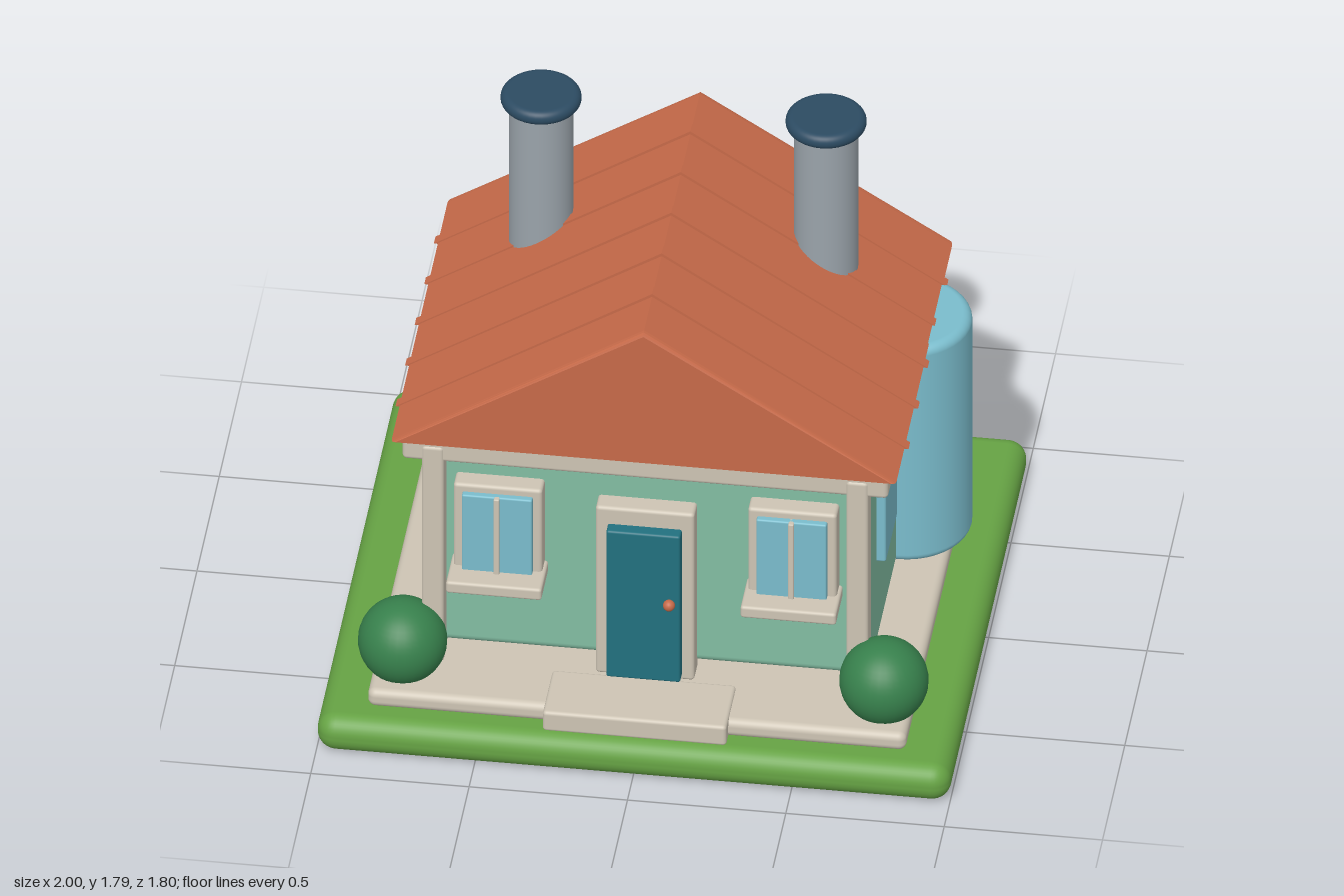
import * as THREE from 'three';
import { RoundedBoxGeometry } from 'three/addons/geometries/RoundedBoxGeometry.js';

const mat = (name, color) => new THREE.MeshStandardMaterial({ name, color });

export function createModel() {
  const lawnGreen = mat('lawn green', 0x66a344);
  const stone = mat('pale stone', 0xcdc4b4);
  const wallGreen = mat('mint wall', 0x82bda2);
  const tile = mat('terracotta', 0xc66a49);
  const glass = mat('sky blue', 0x7abccc);
  const teal = mat('door teal', 0x22717f);
  const metal = mat('chimney grey', 0x9aa3aa);
  const navy = mat('cap navy', 0x2c4b62);
  const leaf = mat('bush green', 0x37804c);

  const house = new THREE.Group();
  house.name = 'house';

  const add = (name, geometry, material, x = 0, y = 0, z = 0) => {
    const mesh = new THREE.Mesh(geometry, material);
    mesh.name = name;
    mesh.position.set(x, y, z);
    house.add(mesh);
    return mesh;
  };
  // Rounded block given by its extents on each axis
  const block = (name, material, [x0, x1], [y0, y1], [z0, z1], r = 0.01) =>
    add(name, new RoundedBoxGeometry(x1 - x0, y1 - y0, z1 - z0, 4, r), material,
      (x0 + x1) / 2, (y0 + y1) / 2, (z0 + z1) / 2);
  // Upright solid cylinder with rounded rims
  const drum = (name, material, r, y0, y1, round, x, z) => {
    const outline = new THREE.Path();
    outline.moveTo(0, y0);
    outline.lineTo(r - round, y0);
    outline.absarc(r - round, y0 + round, round, -Math.PI / 2, 0);
    outline.lineTo(r, y1 - round);
    outline.absarc(r - round, y1 - round, round, 0, Math.PI / 2);
    outline.lineTo(0, y1);
    return add(name, new THREE.LatheGeometry(outline.getPoints(6), 40), material, x, 0, z);
  };
  // Gabled prism running along z
  const gable = (name, half, y0, y1, depth, bevel, z) => {
    const shape = new THREE.Shape();
    shape.moveTo(-half, y0);
    shape.lineTo(half, y0);
    shape.lineTo(0, y1);
    shape.closePath();
    const geometry = new THREE.ExtrudeGeometry(shape, {
      depth: depth - 2 * bevel, bevelEnabled: bevel > 0, bevelThickness: bevel,
      bevelSize: bevel * 0.5, bevelOffset: -bevel * 0.5, bevelSegments: 3,
    });
    geometry.translate(0, 0, -depth / 2 + bevel);
    return add(name, geometry, tile, 0, 0, z);
  };

  // Ground
  block('lawn', lawnGreen, [-1, 1], [0, 0.13], [-0.9, 0.9], 0.06);
  block('terrace', stone, [-0.85, 0.85], [0.125, 0.19], [-0.67, 0.8], 0.025);
  block('doorStep', stone, [-0.29, 0.29], [0.125, 0.2], [0.62, 0.847], 0.012);

  // Walls and cornice
  block('walls', wallGreen, [-0.7, 0.7], [0.218, 0.975], [-0.545, 0.545], 0.03);
  block('cornice', stone, [-0.767, 0.767], [0.96, 1.049], [-0.608, 0.608], 0.015);

  // Roof with raised seams
  gable('roof', 0.797, 1.048, 1.555, 1.29, 0.02, 0);
  for (let i = -2; i <= 2; i++) gable('roofSeam', 0.81, 1.045, 1.566, 0.037, 0, i * 0.215);

  // Door
  block('doorFrame', stone, [-0.156, 0.156], [0.192, 0.84], [0.53, 0.61], 0.012);
  block('door', teal, [-0.117, 0.117], [0.21, 0.778], [0.58, 0.65], 0.008);
  add('doorKnob', new THREE.SphereGeometry(0.019, 20, 14), tile, 0.083, 0.515, 0.658);

  // Round water tank against the left wall
  drum('waterTank', glass, 0.205, 0.22, 1.05, 0.03, 0.705, -0.26);

  // Parts mirrored on both sides
  for (const s of [-1, 1]) {
    const span = (c, w) => [s * c - w / 2, s * c + w / 2];

    block('cornerPost', stone, span(0.67, 0.07), [0.185, 1.02], [0.538, 0.613], 0.012);

    block('windowFrame', stone, span(0.465, 0.28), [0.545, 0.882], [0.53, 0.608], 0.012);
    block('windowPane', glass, span(0.465, 0.222), [0.56, 0.855], [0.58, 0.628], 0.006);
    block('windowMullion', stone, span(0.465, 0.018), [0.56, 0.855], [0.59, 0.64], 0.004);
    block('windowSill', stone, span(0.465, 0.302), [0.522, 0.566], [0.54, 0.702], 0.01);

    for (const z of [-0.26, 0.26])
      block('sideWindow', glass, span(0.705, 0.05), [0.55, 0.918], [z - 0.127, z + 0.127], 0.008);

    drum('chimney', metal, 0.101, 1.08, 1.75, 0.005, s * 0.45, -0.26);
    drum('chimneyCap', navy, 0.127, 1.74, 1.79, 0.024, s * 0.45, -0.26);

    add('bush', new THREE.SphereGeometry(0.14, 32, 24), leaf, s * 0.76, 0.286, 0.645);
  }
  return house;
}
